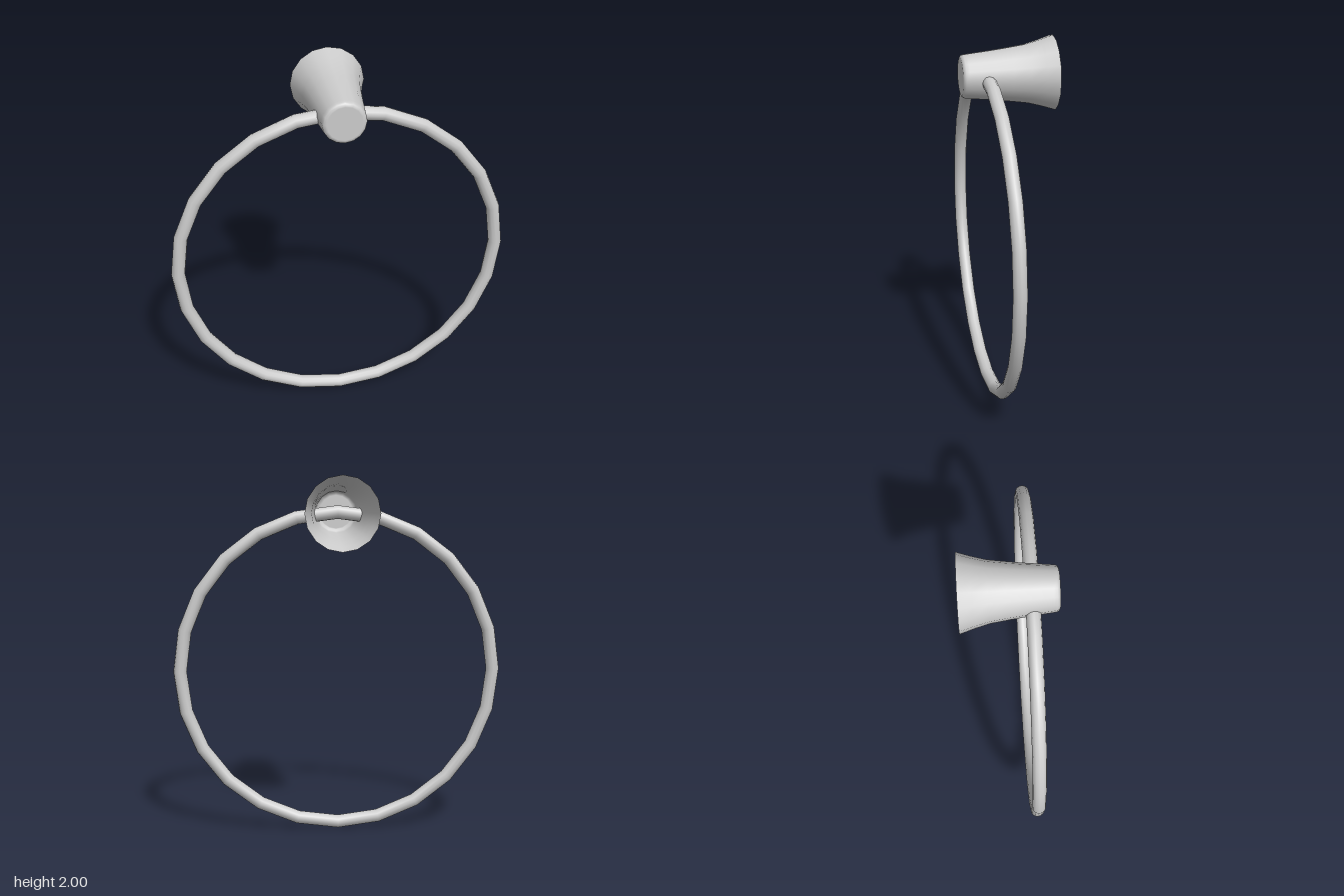
import * as THREE from 'three';

const TUBE = 0.037;
const RING_RADIUS = 0.88;

export function createModel() {
  const group = new THREE.Group();
  const material = new THREE.MeshStandardMaterial({ color: 0xcccccc, side: THREE.DoubleSide });

  // Hanging ring, passing through the post
  const ring = new THREE.Mesh(new THREE.TorusGeometry(RING_RADIUS, TUBE, 12, 24), material);
  ring.name = 'towelRing';
  ring.position.set(0, RING_RADIUS + TUBE + 0.004, 0.115);
  group.add(ring);

  // Flared wall post: [radius, distance along z], open at the wall end
  const profile = [
    [0.2, -0.247], [0.178, -0.18], [0.156, -0.1], [0.143, -0.01], [0.131, 0.085],
    [0.123, 0.16], [0.117, 0.215], [0.115, 0.232], [0.109, 0.242], [0.098, 0.247],
    [0.092, 0.247], [0, 0.247],
  ].map(([r, z]) => new THREE.Vector2(r, z));
  const post = new THREE.Mesh(new THREE.LatheGeometry(profile, 16), material);
  post.name = 'wallPost';
  post.rotation.x = Math.PI / 2;
  post.position.y = 1.8;
  group.add(post);

  return group;
}
